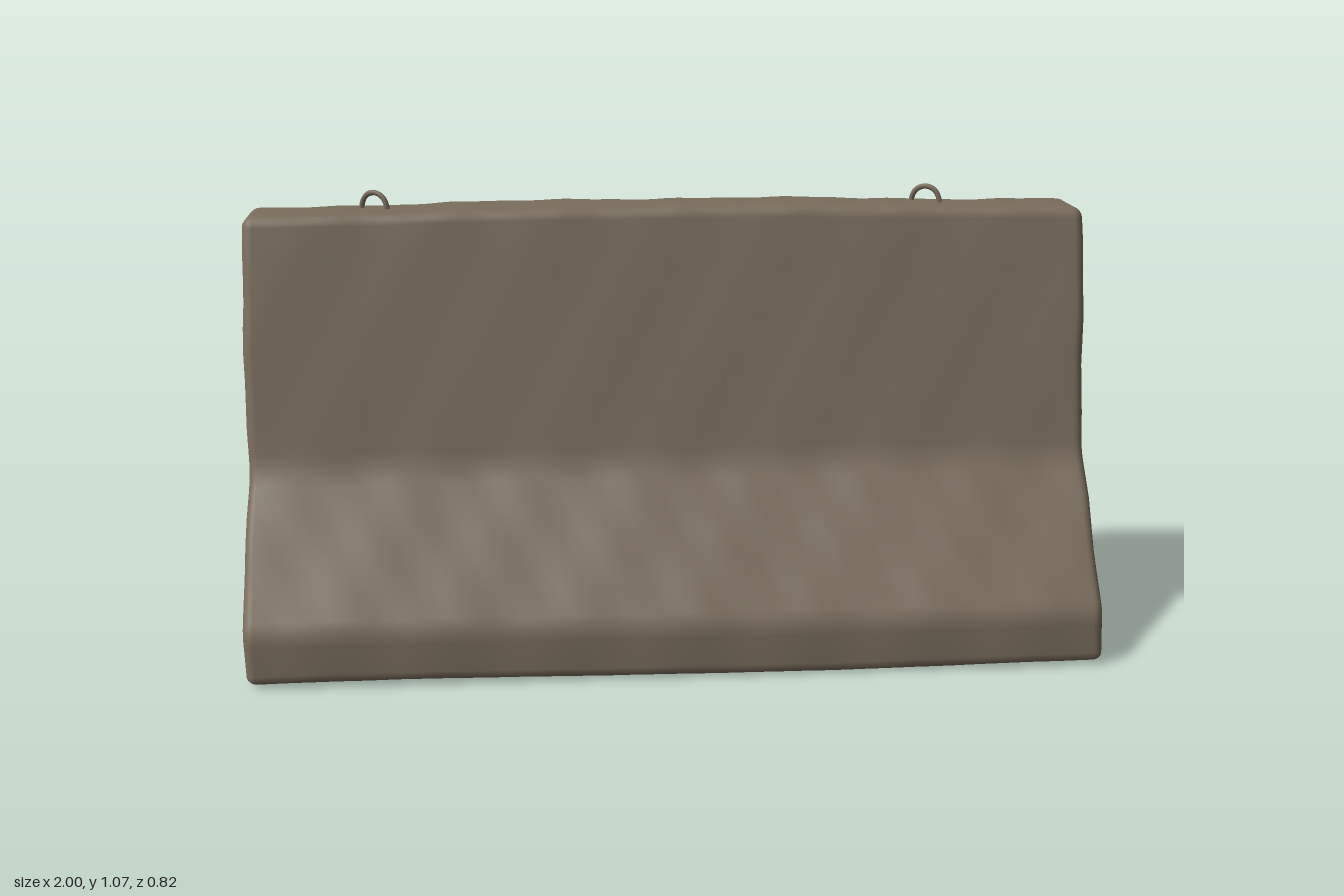
import * as THREE from 'three';

// Barrier cross-section corners: [z, y, corner rounding], front foot up and over to back foot
const CORNERS = [
  [0.41, 0.012, 0.025], [0.406, 0.135, 0.03], [0.18, 0.455, 0.04], [0.058, 1.04, 0.025],
  [-0.117, 1.04, 0.03], [-0.138, 0.92, 0.06], [-0.165, 0.55, 0.06], [-0.185, 0.435, 0.05],
  [-0.392, 0.105, 0.04], [-0.408, 0.012, 0.025],
];

// Closed outline with rounded corners and subdivided edges
function makeOutline() {
  const pts = [], n = CORNERS.length;
  const vec = (k) => new THREE.Vector2(...CORNERS[(k + n) % n]);
  const toward = (a, b, d) => a.clone().add(b.clone().sub(a).setLength(d));
  for (let k = 0; k < n; k++) {
    const p = vec(k), next = vec(k + 1);
    const r = CORNERS[k][2], rNext = CORNERS[(k + 1) % n][2];
    const end = toward(p, next, r), start = toward(next, p, rNext);
    pts.push(...new THREE.QuadraticBezierCurve(toward(p, vec(k - 1), r), p, end).getPoints(4));
    const cuts = Math.max(1, Math.round(end.distanceTo(start) / 0.06));
    for (let i = 1; i < cuts; i++) pts.push(end.clone().lerp(start, i / cuts));
  }
  return pts;
}

// Gentle cast-concrete unevenness
function weather(x, y, z) {
  const s = Math.sin;
  const ripple = 0.0022 * s(9 * x + 5 * y + 2 * z) + 0.0016 * s(23 * x - 11 * y + 7 * z)
    + 0.001 * s(47 * x + 31 * y);
  const crown = y > 0.6 ? 0.007 * (Math.cos(2.6 * x) - 0.6) * (y - 0.6) / 0.44 : 0;
  const sag = y < 0.3 ? -0.004 * s(3.4 * x + 0.7) * (1 - y / 0.3) : 0;
  return [
    x + (Math.abs(x) > 0.9 ? ripple * Math.sign(x) : 0) - 0.008 * x * y * (x > 0 ? 1 : 0.3),
    Math.max(0, y + crown + sag + 0.6 * ripple),
    z + ripple * Math.sign(z) * Math.min(1, Math.abs(z) * 15),
  ];
}

function barrierGeometry() {
  const outline = makeOutline(), n = outline.length;
  const normals = outline.map((p, j) => {
    const a = outline[(j + n - 1) % n], b = outline[(j + 1) % n];
    return new THREE.Vector2(b.y - a.y, a.x - b.x).normalize();
  });
  // Sections as [x, edge inset, scale about the core]
  const R = 0.024, half = 0.996, sections = [];
  for (const s of [0, 0.2, 0.4, 0.6, 0.8]) sections.push([-half, R, s]);
  for (let i = 0; i <= 5; i++) {
    const a = i / 5 * Math.PI / 2;
    sections.push([-half + R * (1 - Math.cos(a)), R * (1 - Math.sin(a)), 1]);
  }
  const mirrored = sections.map(([x, d, s]) => [-x, d, s]).reverse();
  for (let i = 1; i < 64; i++) sections.push([(half - R) * (i / 32 - 1), 0, 1]);
  sections.push(...mirrored);

  const positions = [], index = [];
  for (const [x, inset, s] of sections) {
    outline.forEach((p, j) => {
      const z = (p.x - normals[j].x * inset) * s;
      const y = 0.42 + (p.y - normals[j].y * inset - 0.42) * s;
      positions.push(...weather(x, y, z));
    });
  }
  for (let i = 0; i < sections.length - 1; i++) {
    for (let j = 0; j < n; j++) {
      const a = i * n + j, b = i * n + (j + 1) % n, c = a + n, d = b + n;
      index.push(a, c, b, b, c, d);
    }
  }
  const geo = new THREE.BufferGeometry();
  geo.setAttribute('position', new THREE.Float32BufferAttribute(positions, 3));
  geo.setIndex(index);
  geo.computeVertexNormals();
  // Make the two collapsed cap centres face straight outward
  const normal = geo.getAttribute('normal');
  for (let j = 0; j < n; j++) {
    normal.setXYZ(j, -1, 0, 0);
    normal.setXYZ((sections.length - 1) * n + j, 1, 0, 0);
  }
  return geo;
}

export function createModel() {
  const concrete = new THREE.MeshStandardMaterial({ color: 0x7a6d5d });
  concrete.name = 'weathered concrete';
  const model = new THREE.Group();
  model.name = 'roadBarrier';

  const body = new THREE.Mesh(barrierGeometry(), concrete);
  body.name = 'barrierBody';
  model.add(body);

  // Lifting eyes: thin bent rods sunk into the top
  const path = new THREE.CatmullRomCurve3([
    [-0.033, -0.03], [-0.034, 0.015], [-0.022, 0.036], [0, 0.044],
    [0.022, 0.036], [0.034, 0.015], [0.033, -0.03],
  ].map(([x, y]) => new THREE.Vector3(x, y, 0)));
  const eye = new THREE.TubeGeometry(path, 28, 0.0065, 8);
  for (const [name, x, z] of [['rightLiftingEye', -0.695, -0.047], ['leftLiftingEye', 0.63, -0.057]]) {
    const mesh = new THREE.Mesh(eye, concrete);
    mesh.name = name;
    mesh.position.set(x, 1.026, z);
    mesh.rotation.y = -0.5;
    model.add(mesh);
  }
  return model;
}
